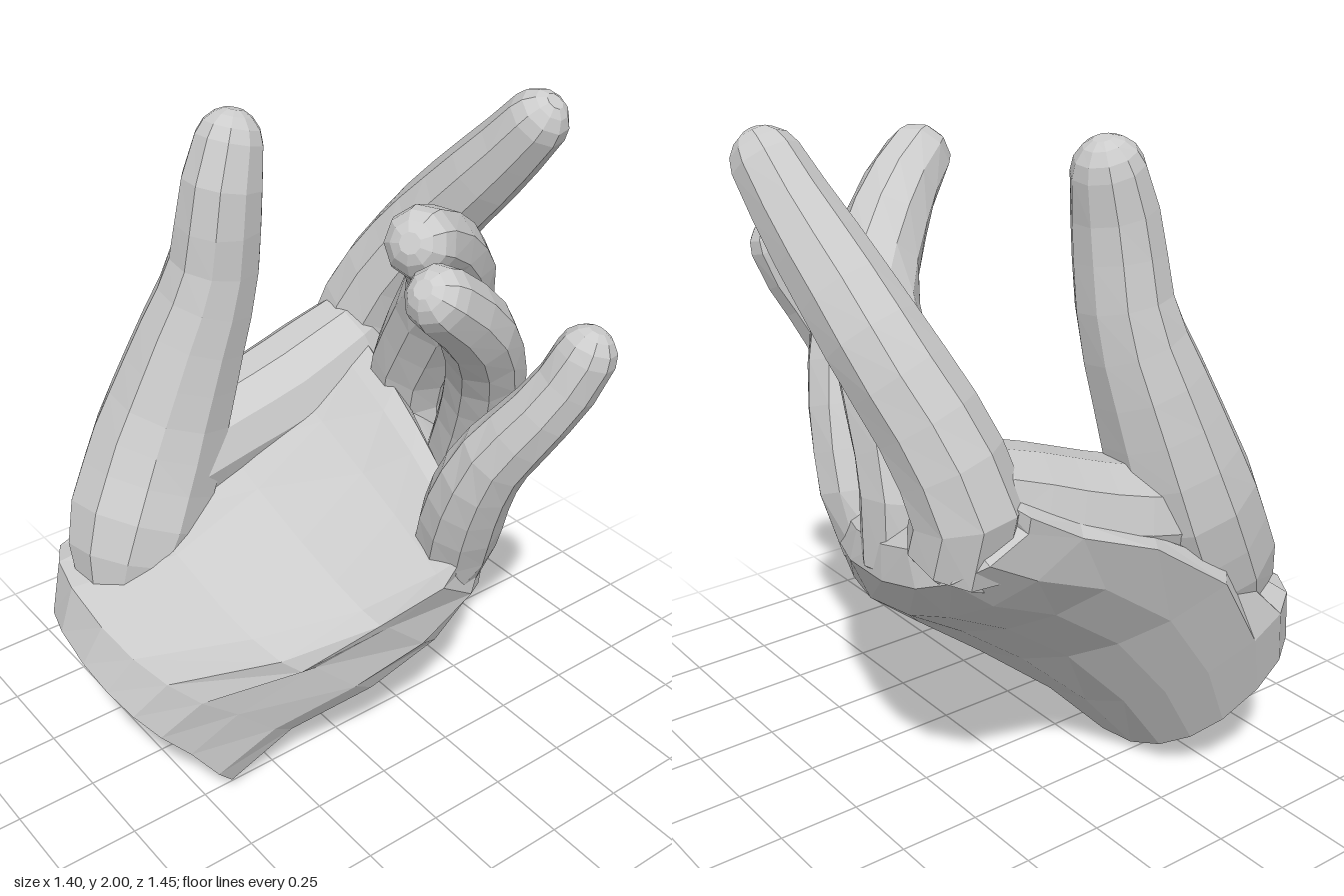
import * as THREE from 'three';

const V = (a) => new THREE.Vector3(...a);
const skin = new THREE.MeshStandardMaterial({
  color: 0xcccccc, flatShading: true, side: THREE.DoubleSide,
});

// Skin a list of equal-length rings, open at the first ring and closed at the last
function loft(name, rings) {
  const n = rings[0].length;
  const centre = (ring) => ring.reduce((s, p) => s.add(p), new THREE.Vector3()).divideScalar(n);
  const all = [...rings.flat(), centre(rings[rings.length - 1])];
  const idx = [];
  const top = (rings.length - 1) * n;
  for (let j = 0; j < n; j++) {
    const k = (j + 1) % n;
    for (let i = 0; i < top; i += n) {
      idx.push(i + j, i + k, i + n + j, i + k, i + n + k, i + n + j);
    }
    idx.push(all.length - 1, top + j, top + k);
  }
  // turn the faces outward if the surface came out inside out
  const base = centre(rings[0]);
  const rel = all.map((p) => p.clone().sub(base));
  let volume = 0;
  for (let i = 0; i < idx.length; i += 3) {
    volume += rel[idx[i]].dot(rel[idx[i + 1]].clone().cross(rel[idx[i + 2]]));
  }
  if (volume < 0) idx.reverse();
  let geo = new THREE.BufferGeometry().setFromPoints(all);
  geo.setIndex(idx);
  geo = geo.toNonIndexed();
  geo.computeVertexNormals();
  const mesh = new THREE.Mesh(geo, skin);
  mesh.name = name;
  return mesh;
}

// Tapered digit along a smooth path of [x, y, z, radius], with a domed tip
function digit(name, path, sides = 9, steps = 11) {
  const curve = new THREE.CatmullRomCurve3(path.map((p) => V(p.slice(0, 3))));
  const length = curve.getLength();
  const tip = path[path.length - 1][3];
  const us = [];
  for (let i = 0; i <= steps; i++) us.push((i / steps) * (1 - tip / length));
  for (const d of [0.55, 0.22, 0.05]) us.push(1 - (d * tip) / length);
  const rings = us.map((u) => {
    const t = curve.getUtoTmapping(u);
    const f = t * (path.length - 1), k = Math.min(Math.floor(f), path.length - 2);
    let r = THREE.MathUtils.lerp(path[k][3], path[k + 1][3], f - k);
    const d = (1 - u) * length / tip;
    if (d < 1) r *= Math.sqrt(1 - (1 - d) ** 2);
    const c = curve.getPoint(t), dir = curve.getTangent(t);
    const b = dir.clone().cross(V([1, 0, 0])).normalize();
    const a = b.clone().cross(dir).normalize();
    return Array.from({ length: sides }, (_, j) => {
      const w = (j / sides) * Math.PI * 2;
      return c.clone().addScaledVector(a, r * Math.cos(w)).addScaledVector(b, r * Math.sin(w));
    });
  });
  return loft(name, rings);
}

// Palm cross-section through its thumb-side, palm, outer and back points
function section([thumbSide, front, outer, back], sides = 18) {
  const [R, P, U, D] = [thumbSide, front, outer, back].map(V);
  const c = R.clone().add(U).multiplyScalar(0.5);
  const soft = (v) => Math.sign(v) * Math.abs(v) ** 0.85;
  return Array.from({ length: sides }, (_, j) => {
    const w = (j / sides) * Math.PI * 2, x = soft(Math.cos(w)), y = soft(Math.sin(w));
    return c.clone()
      .addScaledVector((x > 0 ? U : R).clone().sub(c), Math.abs(x))
      .addScaledVector((y > 0 ? P : D).clone().sub(c), Math.abs(y));
  });
}

export function createModel() {
  const hand = new THREE.Group();
  hand.name = 'hand';

  // palm and back of the hand, from the open wrist to the knuckles
  hand.add(loft('palm', [
    [[-0.61, 0.33, 0.51], [-0.35, 0.46, 0.72], [0.02, 0.21, 0.55], [-0.18, 0.01, 0.35]],
    [[-0.66, 0.54, 0.43], [-0.33, 0.6, 0.67], [0.1, 0.36, 0.43], [-0.15, 0.21, 0.17]],
    [[-0.69, 0.78, 0.27], [-0.12, 0.71, 0.41], [0.21, 0.51, 0.23], [-0.07, 0.38, -0.03]],
    [[-0.66, 0.94, 0.04], [-0.1, 0.83, 0.13], [0.32, 0.64, 0.05], [-0.05, 0.53, -0.23]],
    [[-0.62, 1.02, -0.18], [-0.1, 0.98, -0.1], [0.41, 0.78, -0.07], [-0.08, 0.67, -0.42]],
    [[-0.6, 1.07, -0.34], [-0.18, 1.1, -0.25], [0.42, 0.87, -0.13], [-0.14, 0.84, -0.53]],
    [[-0.52, 1.13, -0.4], [-0.2, 1.14, -0.32], [0.36, 0.92, -0.18], [-0.13, 0.93, -0.51]],
  ].map((s) => section(s))));

  // thumb with the fleshy mound at its base
  hand.add(digit('thumb', [
    [-0.41, 0.55, 0.5, 0.14], [-0.44, 0.71, 0.43, 0.215], [-0.475, 0.97, 0.3, 0.205],
    [-0.45, 1.25, 0.2, 0.17], [-0.41, 1.5, 0.125, 0.135], [-0.385, 1.75, 0.1, 0.12],
    [-0.395, 1.965, 0.04, 0.085],
  ], 10, 12));

  // web of skin between thumb and index finger
  hand.add(digit('thumbWeb', [
    [-0.45, 0.9, 0.3, 0.16], [-0.45, 0.95, 0.08, 0.165], [-0.43, 1.02, -0.15, 0.17],
    [-0.42, 1.1, -0.34, 0.16], [-0.42, 1.15, -0.48, 0.12],
  ], 10, 6));

  // four fingers, each running from inside the palm over its knuckle to the tip
  hand.add(digit('indexFinger', [
    [-0.34, 0.88, -0.25, 0.09], [-0.41, 0.94, -0.42, 0.14], [-0.46, 1.09, -0.42, 0.15],
    [-0.4, 1.29, -0.47, 0.14], [-0.26, 1.52, -0.55, 0.13], [-0.09, 1.72, -0.6, 0.115],
    [0.02, 1.85, -0.63, 0.1], [0.12, 1.98, -0.655, 0.085],
  ]));
  hand.add(digit('middleFinger', [
    [-0.15, 0.76, -0.22, 0.09], [-0.18, 0.91, -0.42, 0.13], [-0.17, 1.08, -0.41, 0.13],
    [-0.07, 1.29, -0.39, 0.13], [0.08, 1.52, -0.34, 0.127], [0.2, 1.69, -0.2, 0.115],
    [0.28, 1.78, -0.08, 0.1], [0.35, 1.84, 0.04, 0.09],
  ]));
  hand.add(digit('ringFinger', [
    [0.05, 0.7, -0.16, 0.09], [0.09, 0.84, -0.36, 0.115], [0.16, 1.01, -0.36, 0.12],
    [0.24, 1.21, -0.33, 0.118], [0.32, 1.41, -0.26, 0.11], [0.4, 1.58, -0.14, 0.1],
    [0.43, 1.69, -0.02, 0.092], [0.45, 1.77, 0.08, 0.085],
  ]));
  hand.add(digit('littleFinger', [
    [0.22, 0.66, -0.04, 0.09], [0.29, 0.78, -0.18, 0.115], [0.35, 0.93, -0.17, 0.12],
    [0.4, 1.06, -0.16, 0.115], [0.46, 1.19, -0.17, 0.105], [0.56, 1.36, -0.24, 0.09],
    [0.61, 1.48, -0.3, 0.085], [0.64, 1.61, -0.34, 0.08],
  ]));
  return hand;
}
